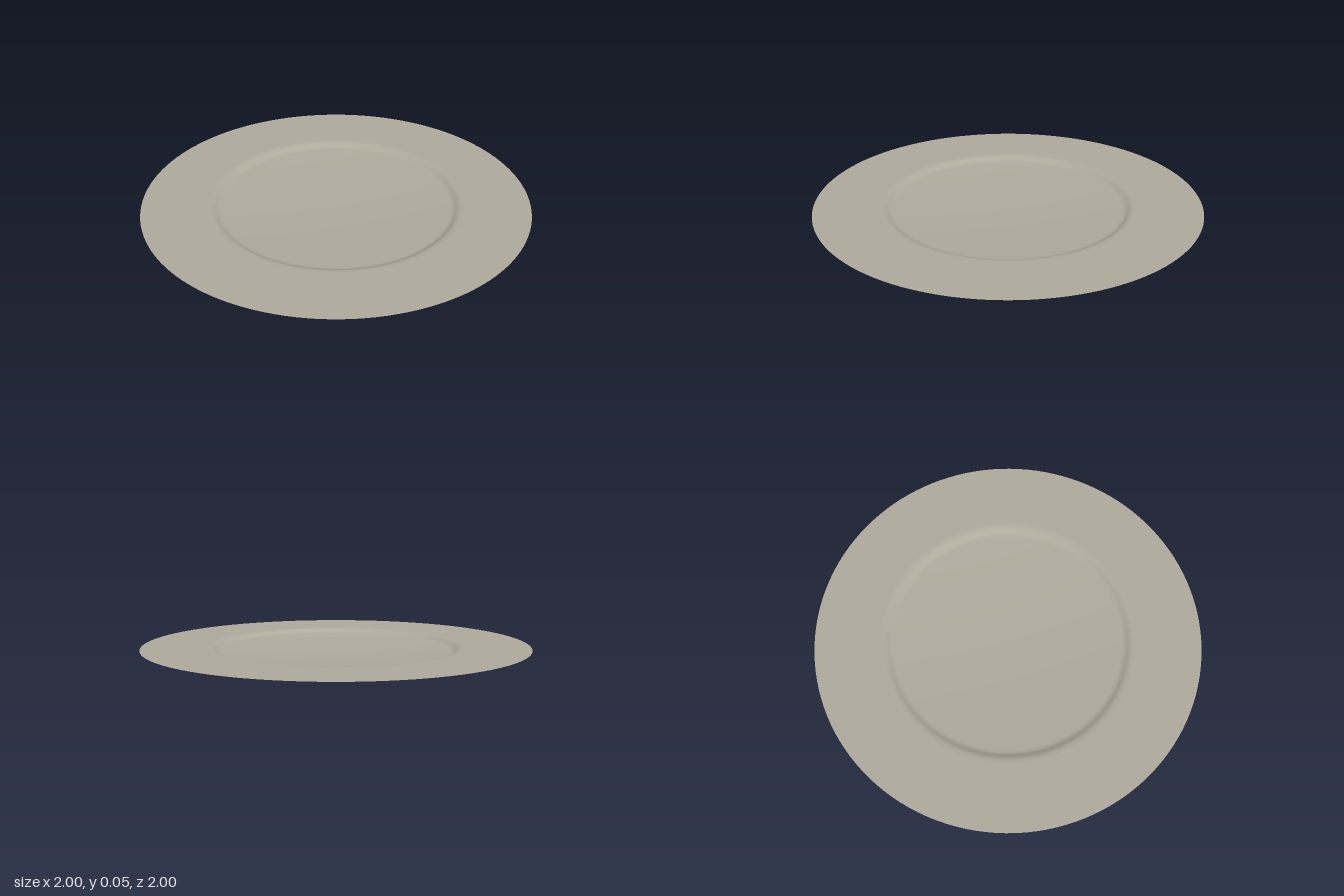
import * as THREE from 'three';

export function createModel() {
  const group = new THREE.Group();
  group.name = 'plate';
  const glaze = new THREE.MeshStandardMaterial({ color: 0xaeaa9c, side: THREE.DoubleSide });
  glaze.name = 'stone grey glaze';

  // Thin sheet profiles, listed from the outside in so that normals face up
  const addRing = (name, profile) => {
    const points = profile.map(([r, y]) => new THREE.Vector2(r, y));
    const mesh = new THREE.Mesh(new THREE.LatheGeometry(points, 128), glaze);
    mesh.name = name;
    group.add(mesh);
  };

  // Flat, wide rim
  addRing('rim', [[1, 0.046], [0.8, 0.046], [0.66, 0.046]]);

  // Rounded step down from the rim
  addRing('shoulder', [
    [0.66, 0.046], [0.645, 0.045], [0.633, 0.042], [0.622, 0.036],
    [0.612, 0.029], [0.602, 0.025], [0.59, 0.0235],
  ]);

  // Shallow dished well
  const well = [];
  for (let i = 0; i <= 12; i++) {
    const r = 0.59 * (1 - i / 12);
    well.push([r, 0.0235 * (r / 0.59) ** 2]);
  }
  addRing('well', well);

  return group;
}
